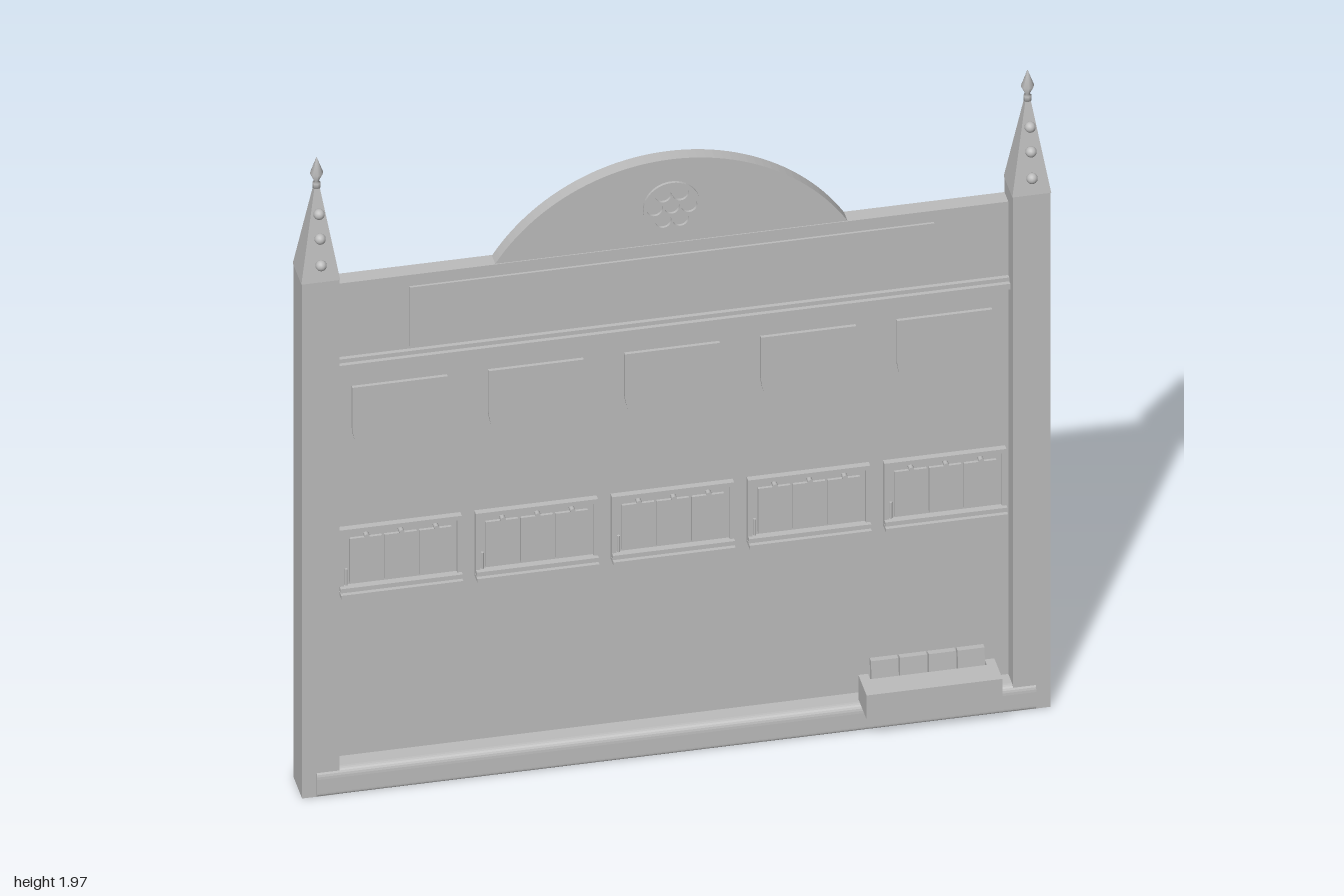
import * as THREE from 'three';

export function createModel() {
  const model = new THREE.Group();
  model.name = 'noticeBoard';
  const grey = new THREE.MeshStandardMaterial({ name: 'grey', color: 0xbcbcbc });

  const add = (name, geometry, parent = model) => {
    const mesh = new THREE.Mesh(geometry, grey);
    mesh.name = name;
    parent.add(mesh);
    return mesh;
  };
  // Box given by its limits on each axis
  const box = (name, x0, x1, y0, y1, z0, z1, parent) => {
    const mesh = add(name, new THREE.BoxGeometry(x1 - x0, y1 - y0, z1 - z0), parent);
    mesh.position.set((x0 + x1) / 2, (y0 + y1) / 2, (z0 + z1) / 2);
    return mesh;
  };
  const plate = (name, shape, z0, z1, parent) => {
    const mesh = add(name, new THREE.ExtrudeGeometry(shape, { depth: z1 - z0, bevelEnabled: false, curveSegments: 24 }), parent);
    mesh.position.z = z0;
    return mesh;
  };

  // Back panel, sign and moulding
  box('backPanel', -0.91, 0.91, 0.01, 1.56, -0.088, -0.042);
  box('signPanel', -0.7, 0.7, 1.34, 1.525, -0.043, -0.035);
  box('railUpper', -0.9, 0.9, 1.315, 1.33, -0.043, -0.03);
  box('railLower', -0.9, 0.9, 1.3, 1.318, -0.043, -0.018);

  // Rounded base rail, profile extruded along x
  const profile = new THREE.Shape();
  profile.moveTo(0.086, 0);
  profile.lineTo(-0.01, 0);
  profile.quadraticCurveTo(-0.02, 0, -0.02, 0.012);
  profile.lineTo(-0.02, 0.055);
  profile.quadraticCurveTo(-0.02, 0.08, 0, 0.08);
  profile.lineTo(0.086, 0.08);
  const base = add('baseRail', new THREE.ExtrudeGeometry(profile, { depth: 1.92, bevelEnabled: false, curveSegments: 6 }));
  base.rotation.y = Math.PI / 2;
  base.position.x = -0.96;

  // Arched crest
  const R = 0.555, cy = 1.265, a = Math.asin(0.295 / R);
  const arch = new THREE.Shape();
  arch.absarc(0, cy, R, a, Math.PI - a, false);
  arch.closePath();
  plate('archedCrest', arch, -0.085, -0.045);

  // Round tracery window
  const rose = new THREE.Shape();
  rose.absarc(0, 0, 0.076, 0, Math.PI * 2, false);
  for (let i = 0; i < 6; i++) {
    const t = (i * Math.PI) / 3;
    const hole = new THREE.Path();
    hole.absarc(0.046 * Math.cos(t), 0.046 * Math.sin(t), 0.0215, 0, Math.PI * 2, true);
    rose.holes.push(hole);
  }
  const centre = new THREE.Path();
  centre.absarc(0, 0, 0.02, 0, Math.PI * 2, true);
  rose.holes.push(centre);
  plate('tracery', rose, -0.046, -0.037).position.y = 1.675;

  // Pillars with spires, finials and beads
  for (const side of [-1, 1]) {
    const tower = new THREE.Group();
    tower.name = side < 0 ? 'rightTower' : 'leftTower';
    tower.position.set(side * 0.949, 0, -0.037);
    model.add(tower);
    box('pillar', -0.05, 0.05, 0, 1.61, -0.052, 0.052, tower);
    const spire = add('spire', new THREE.ConeGeometry(0.0735, 0.31, 4, 1, false, Math.PI / 4).toNonIndexed(), tower);
    spire.geometry.computeVertexNormals();
    spire.position.y = 1.765;
    const finial = [[0, 1.87], [0.011, 1.875], [0.011, 1.89], [0.006, 1.895], [0.018, 1.92], [0, 1.97]];
    add('finial', new THREE.LatheGeometry(finial.map(p => new THREE.Vector2(...p)), 8), tower);
    [1.665, 1.74, 1.81].forEach((y) => {
      const bead = add('bead', new THREE.SphereGeometry(0.015, 14, 10), tower);
      bead.position.set(0, y, 0.052 * (1.92 - y) / 0.31 + 0.013);
    });
  }

  // Five columns: a shield above a card holder
  const shield = new THREE.Shape();
  shield.moveTo(-0.127, 1.235);
  shield.lineTo(-0.127, 1.105);
  shield.bezierCurveTo(-0.122, 1.03, -0.07, 0.97, 0, 0.94);
  shield.bezierCurveTo(0.07, 0.97, 0.122, 1.03, 0.127, 1.105);
  shield.lineTo(0.127, 1.235);
  shield.closePath();
  for (let i = -2; i <= 2; i++) {
    const bay = new THREE.Group();
    bay.name = 'bay';
    bay.position.x = i * 0.3635;
    model.add(bay);
    plate('shield', shield, -0.043, -0.032, bay);

    // Holder backing, frame and lip
    box('holderBack', -0.163, 0.163, 0.6, 0.798, -0.043, -0.032, bay);
    box('holderTop', -0.163, 0.163, 0.785, 0.798, -0.034, -0.024, bay);
    box('holderLip', -0.163, 0.163, 0.595, 0.606, -0.043, -0.005, bay);
    box('holderShelf', -0.163, 0.163, 0.609, 0.622, -0.043, -0.012, bay);
    for (const s of [-1, 1]) {
      const x = s * 0.157;
      box('holderSide', x - 0.006, x + 0.006, 0.615, 0.79, -0.034, -0.024, bay);
    }
    const pen = add('pen', new THREE.CylinderGeometry(0.004, 0.004, 0.05, 8), bay);
    pen.position.set(-0.147, 0.655, -0.018);

    // Cards hung from pegs
    for (const k of [-1, 0, 1]) {
      box('card', k * 0.093 - 0.043, k * 0.093 + 0.043, 0.63, 0.768, -0.033, -0.024, bay);
      const peg = add('peg', new THREE.CylinderGeometry(0.007, 0.007, 0.025, 10), bay);
      peg.rotation.x = Math.PI / 2;
      peg.position.set(k * 0.093, 0.779, -0.022);
    }
  }

  // Tray with four upright blocks
  const tray = new THREE.Group();
  tray.name = 'tray';
  model.add(tray);
  box('trayFront', 0.492, 0.855, 0.08, 0.155, 0.014, 0.087, tray);
  box('trayEnd', 0.492, 0.518, 0.08, 0.155, -0.012, 0.014, tray);
  box('trayEnd', 0.829, 0.855, 0.08, 0.155, -0.012, 0.014, tray);
  box('trayFloor', 0.518, 0.829, 0.08, 0.09, -0.012, 0.014, tray);
  for (let i = 0; i < 4; i++) {
    const x = 0.522 + i * 0.077;
    box('block', x, x + 0.072, 0.085, 0.205, -0.008, 0.01, tray).rotation.x = -0.06;
  }
  return model;
}
